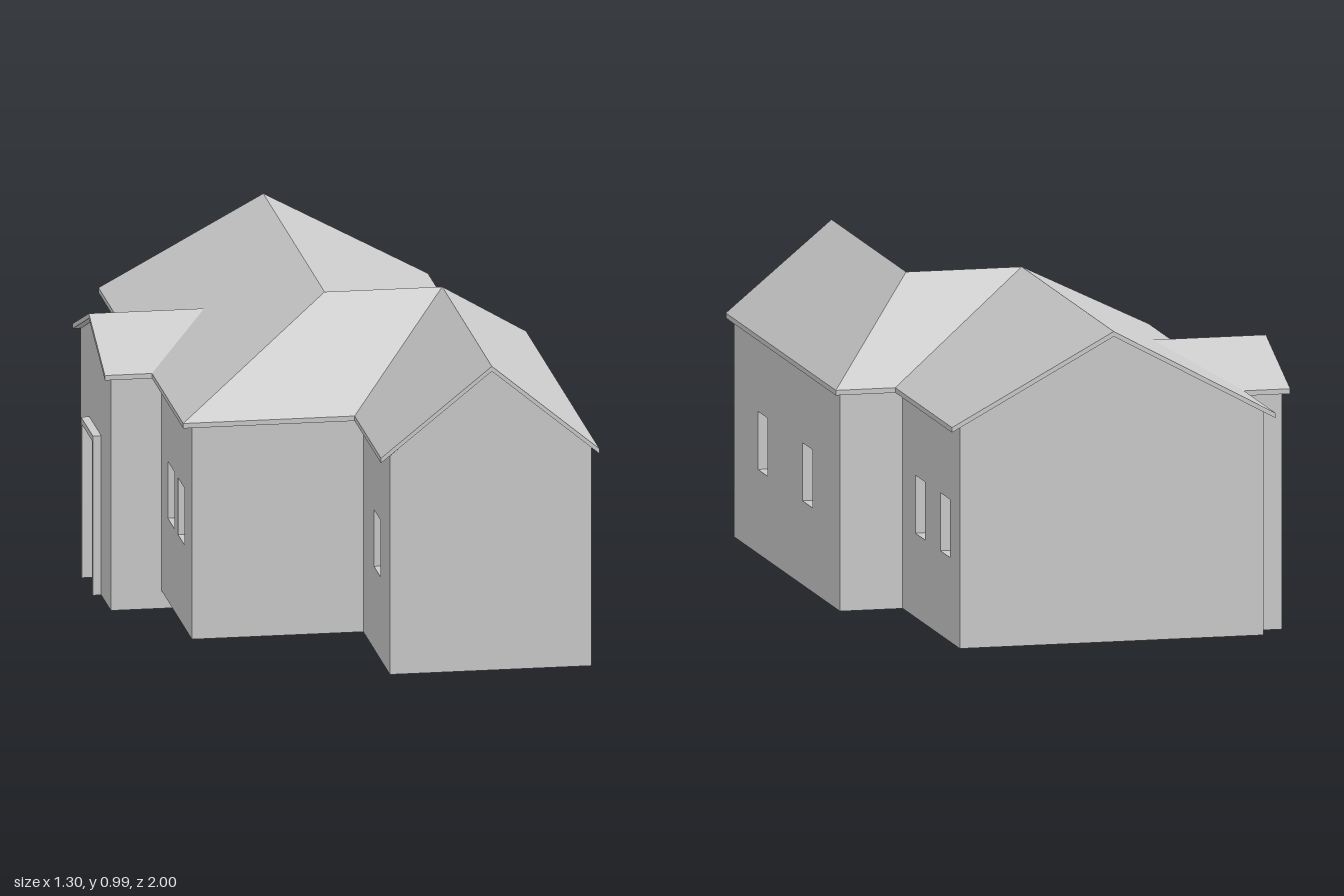
import * as THREE from 'three';

const mat = new THREE.MeshStandardMaterial({ color: 0xcccccc, flatShading: true, side: THREE.DoubleSide });

function add(parent, name, geometry) {
  const mesh = new THREE.Mesh(geometry, mat);
  mesh.name = name;
  parent.add(mesh);
  return mesh;
}

const outline = (pts, Type = THREE.Shape) => new Type(pts.map(p => new THREE.Vector2(...p)));
const rect = (x0, y0, x1, y1) => [[x0, y0], [x1, y0], [x1, y1], [x0, y1]];

// Rectangular ring, extruded from z0 to z1
function ring(x0, y0, x1, y1, t, bottom, z0, z1) {
  const shape = outline(rect(x0, y0, x1, y1));
  shape.holes.push(outline(rect(x0 + t, y0 + bottom, x1 - t, y1 - t), THREE.Path));
  return new THREE.ExtrudeGeometry(shape, { depth: z1 - z0, bevelEnabled: false }).translate(0, 0, z0);
}

function pane(x0, y0, x1, y1, z) {
  return new THREE.PlaneGeometry(x1 - x0, y1 - y0).translate((x0 + x1) / 2, (y0 + y1) / 2, z);
}

const WIN = { w: 0.13, y0: 0.3, y1: 0.485, depth: 0.05 };

// Wall from a to b (counter-clockwise seen from above, so it faces outward).
// windows: centres measured along the wall; peak: gable height; door: [start, end, height]
function wall(parent, name, a, b, { y0 = 0.055, top = 0.72, peak, windows = [], door } = {}) {
  const dx = b[0] - a[0], dz = b[1] - a[1], len = Math.hypot(dx, dz);
  const g = new THREE.Group();
  g.name = name;
  g.position.set(a[0], 0, a[1]);
  g.rotation.y = Math.atan2(-dz, dx);
  parent.add(g);

  const pts = [[0, y0]];
  if (door) pts.push([door[0], y0], [door[0], door[2]], [door[1], door[2]], [door[1], y0]);
  pts.push([len, y0], [len, top]);
  if (peak) pts.push([len / 2, peak]);
  pts.push([0, top]);
  const shape = outline(pts);

  for (const s of windows) {
    const r = [s - WIN.w / 2, WIN.y0, s + WIN.w / 2, WIN.y1];
    shape.holes.push(outline(rect(...r), THREE.Path));
    add(g, 'windowFrame', ring(...r, 0.006, 0.006, -WIN.depth, 0));
    add(g, 'windowPane', pane(...r, -WIN.depth));
  }
  if (door) {
    const [d0, d1, h] = door, t = 0.018;
    // Door trim stands proud of the wall, the door leaf sits back
    const trim = outline([[d0, 0], [d0 + t, 0], [d0 + t, h - t], [d1 - t, h - t],
      [d1 - t, 0], [d1, 0], [d1, h], [d0, h]]);
    add(g, 'doorTrim', new THREE.ExtrudeGeometry(trim, { depth: 0.055, bevelEnabled: false }).translate(0, 0, -0.03));
    add(g, 'door', pane(d0, 0, d1, h, -0.02));
  }
  add(g, 'wallFace', new THREE.ShapeGeometry(shape));
}

// Thin roof plane: top, underside and a fascia along its first `open` edges
function roofPlane(parent, name, pts, open) {
  const T = 0.015, pos = [];
  const low = p => [p[0], p[1] - T, p[2]];
  const quad = (a, b, c, d) => pos.push(...a, ...b, ...c, ...a, ...c, ...d);
  const [a, b, c, d] = pts;
  quad(a, b, c, d);
  quad(low(d), low(c), low(b), low(a));
  for (let i = 0; i < open; i++) quad(low(pts[i]), low(pts[i + 1]), pts[i + 1], pts[i]);
  const geo = new THREE.BufferGeometry();
  geo.setAttribute('position', new THREE.Float32BufferAttribute(pos, 3));
  geo.computeVertexNormals();
  add(parent, name, geo);
}

export function createModel() {
  const house = new THREE.Group();
  house.name = 'house';

  // Outer walls, walked round the footprint
  const walls = new THREE.Group();
  walls.name = 'walls';
  house.add(walls);
  const P = [[-0.48, -0.975], [-0.48, 0.5], [0.03, 0.5], [0.03, 0.98],
    [0.63, 0.98], [0.63, -0.29], [0.44, -0.29], [0.44, -0.975]];
  const specs = [
    ['rightLongWall', { windows: [0.185, 1.1, 1.285] }],
    ['frontHipWall', {}],
    ['frontWingInnerWall', { windows: [0.25] }],
    ['frontGableWall', { peak: 0.97 }],
    ['frontWingOuterWall', { windows: [0.345, 0.88] }],
    ['stepWall', {}],
    ['backWingWall', { windows: [0.21, 0.51] }],
    ['backGableWall', { peak: 0.97 }],
  ];
  specs.forEach(([name, opts], i) => wall(walls, name, P[i], P[(i + 1) % P.length], opts));

  // Entrance porch
  const porch = new THREE.Group();
  porch.name = 'porch';
  house.add(porch);
  const base = { y0: 0, top: 0.71 };
  const Q = [[-0.63, -0.6], [-0.63, -0.05], [-0.29, -0.05], [-0.29, -0.6]];
  wall(porch, 'porchGableWall', Q[0], Q[1], { ...base, peak: 0.815, door: [0.16, 0.375, 0.485] });
  wall(porch, 'porchFrontWall', Q[1], Q[2], base);
  wall(porch, 'porchInnerWall', Q[2], Q[3], base);
  wall(porch, 'porchBackWall', Q[3], Q[0], base);

  // Roof: two parallel wings joined by a cross ridge with hipped ends
  const roof = new THREE.Group();
  roof.name = 'roof';
  house.add(roof);
  const E = 0.72, R = 0.985, PR = 0.83;
  const ridgeA = [-0.02, R, 0.105], ridgeABack = [-0.02, R, -1];
  const ridgeB = [0.33, R, 0.105], ridgeBFront = [0.33, R, 1];
  const hipFront = [-0.51, E, 0.525], valleyFront = [0, E, 0.525];
  const hipBack = [0.65, E, -0.32], valleyBack = [0.47, E, -0.32];
  roofPlane(roof, 'backWingRightSlope', [ridgeABack, [-0.51, E, -1], hipFront, ridgeA], 2);
  roofPlane(roof, 'frontHip', [hipFront, valleyFront, ridgeB, ridgeA], 1);
  roofPlane(roof, 'frontWingRightSlope', [valleyFront, [0, E, 1], ridgeBFront, ridgeB], 2);
  roofPlane(roof, 'frontWingLeftSlope', [ridgeBFront, [0.65, E, 1], hipBack, ridgeB], 2);
  roofPlane(roof, 'backHip', [hipBack, valleyBack, ridgeA, ridgeB], 1);
  roofPlane(roof, 'backWingLeftSlope', [valleyBack, [0.47, E, -1], ridgeABack, ridgeA], 2);

  // Porch roof, running into the main slope
  const porchEnd = [-0.65, PR, -0.328], porchTop = [-0.305, PR, -0.328];
  roofPlane(roof, 'porchFrontSlope', [porchEnd, [-0.65, E, -0.037], [-0.51, E, -0.037], porchTop], 2);
  roofPlane(roof, 'porchBackSlope', [[-0.51, E, -0.62], [-0.65, E, -0.62], porchEnd, porchTop], 2);

  return house;
}
